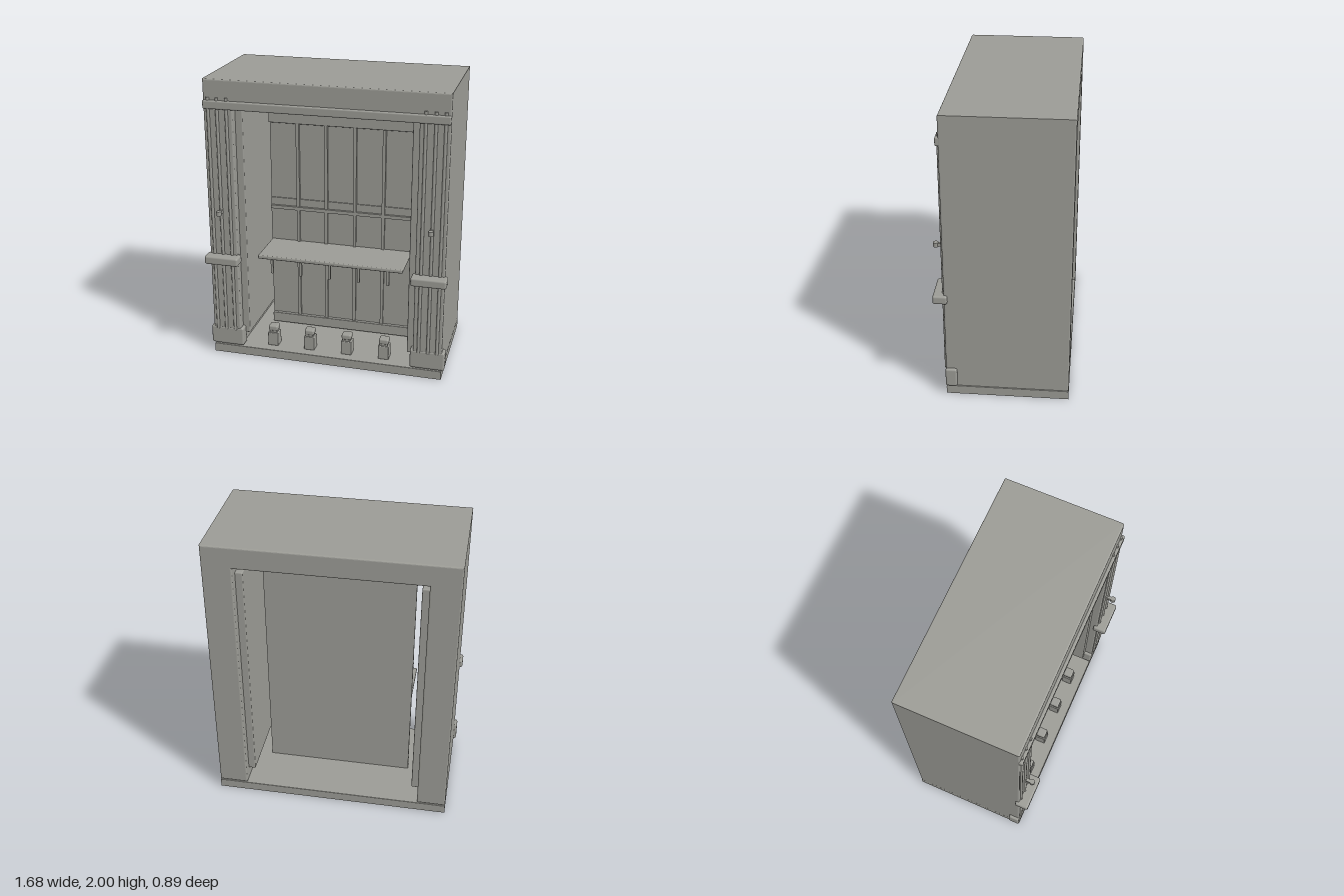
import * as THREE from 'three';
import { RoundedBoxGeometry } from 'three/addons/geometries/RoundedBoxGeometry.js';

const stone = new THREE.MeshStandardMaterial({ color: 0x9b9b95 });
stone.name = 'warm grey';

export function createModel() {
  const model = new THREE.Group();
  model.name = 'displayBooth';

  const add = (name, geometry, x = 0, y = 0, z = 0, parent = model) => {
    const mesh = new THREE.Mesh(geometry, stone);
    mesh.name = name;
    mesh.position.set(x, y, z);
    parent.add(mesh);
    return mesh;
  };
  // Box given by its lower and upper limits; r rounds the edges
  const box = (name, [x0, x1], [y0, y1], [z0, z1], r = 0, parent = model) => {
    const size = [x1 - x0, y1 - y0, z1 - z0];
    const geometry = r ? new RoundedBoxGeometry(...size, 2, r) : new THREE.BoxGeometry(...size);
    return add(name, geometry, (x0 + x1) / 2, (y0 + y1) / 2, (z0 + z1) / 2, parent);
  };

  // Floor slab on a shallow skirt, recessed underneath
  box('floor', [-0.82, 0.82], [0.034, 0.063], [-0.445, 0.375], 0.005);
  box('baseSkirtFront', [-0.82, 0.82], [0, 0.05], [0.355, 0.375]);
  box('baseSkirtBack', [-0.82, 0.82], [0, 0.05], [-0.445, -0.425]);
  for (const s of [-1, 1])
    box('baseSkirtSide', [s * 0.81 - 0.01, s * 0.81 + 0.01], [0, 0.05], [-0.425, 0.355]);

  // Thick arch open at front and back
  const b = 0.01;
  const outline = [[0.82 - b, 0.068 + b], [0.82 - b, 2 - b], [-0.82 + b, 2 - b], [-0.82 + b, 0.068 + b],
    [-0.62 - b, 0.068 + b], [-0.62 - b, 1.85 + b], [0.62 + b, 1.85 + b], [0.62 + b, 0.068 + b]];
  const arch = new THREE.Shape(outline.map(([x, y]) => new THREE.Vector2(x, y)));
  add('archBody', new THREE.ExtrudeGeometry(arch, {
    depth: 0.82 - 2 * b, bevelThickness: b, bevelSize: b, bevelSegments: 3,
  }), 0, 0, -0.445 + b);

  // Trim across the front of the lintel
  box('lintelTrim', [-0.82, 0.82], [1.803, 1.86], [0.36, 0.395], 0.01);

  // Side posts with reeds, feet, brackets and knobs
  for (const [side, s] of [['left', 1], ['right', -1]]) {
    const post = new THREE.Group();
    post.name = side + 'Post';
    model.add(post);
    const span = (a, c) => (s > 0 ? [a, c] : [-c, -a]);
    box('sideLining', span(0.57, 0.63), [0.15, 1.79], [-0.38, 0.32], 0.008, post);
    box('foot', span(0.6, 0.84), [0.07, 0.205], [0.3, 0.378], 0.014, post);
    box('bracket', span(0.6, 0.84), [0.71, 0.77], [0.35, 0.445], 0.014, post);
    for (const x of [0.66, 0.725, 0.787])
      add('reed', new THREE.CylinderGeometry(0.011, 0.011, 1.69, 10), s * x, 1.035, 0.376, post);
    box('knobStem', span(0.712, 0.734), [1.079, 1.101], [0.37, 0.415], 0, post);
    add('knob', new THREE.CylinderGeometry(0.018, 0.018, 0.03, 16), s * 0.723, 1.09, 0.427, post);
  }

  // Free-standing rear panel, lower part slightly proud
  box('upperPanel', [-0.515, 0.515], [1.05, 1.71], [-0.092, -0.076]);
  box('lowerPanel', [-0.515, 0.515], [0.06, 1.055], [-0.092, -0.068]);
  box('panelHeader', [-0.515, 0.515], [1.615, 1.71], [-0.09, -0.045], 0.005);
  box('panelSkirt', [-0.515, 0.515], [0.07, 0.145], [-0.085, -0.045], 0.006);
  box('panelRail', [-0.515, 0.515], [0.975, 1.0], [-0.08, -0.05]);
  for (const x of [-0.31, -0.104, 0.104, 0.31])
    box('panelMullion', [x - 0.011, x + 0.011], [0.14, 1.62], [-0.08, -0.054]);

  // Shelf with hanging pegs along the front
  box('shelf', [-0.515, 0.515], [0.708, 0.735], [-0.075, 0.26], 0.008);
  for (let i = -2; i <= 2; i++)
    box('shelfPeg', [i * 0.207 - 0.009, i * 0.207 + 0.009], [0.605, 0.715], [0.236, 0.254]);

  // Row of small jars on the floor
  for (const x of [-0.402, -0.135, 0.135, 0.402]) {
    const jar = new THREE.Group();
    jar.name = 'jar';
    jar.position.set(x, 0, 0.27);
    model.add(jar);
    box('jarBody', [-0.038, 0.038], [0.062, 0.163], [-0.038, 0.038], 0.006, jar);
    box('jarNeck', [-0.027, 0.027], [0.16, 0.183], [-0.027, 0.027], 0, jar);
    box('jarCap', [-0.034, 0.034], [0.176, 0.216], [-0.034, 0.034], 0.012, jar);
  }

  return model;
}
